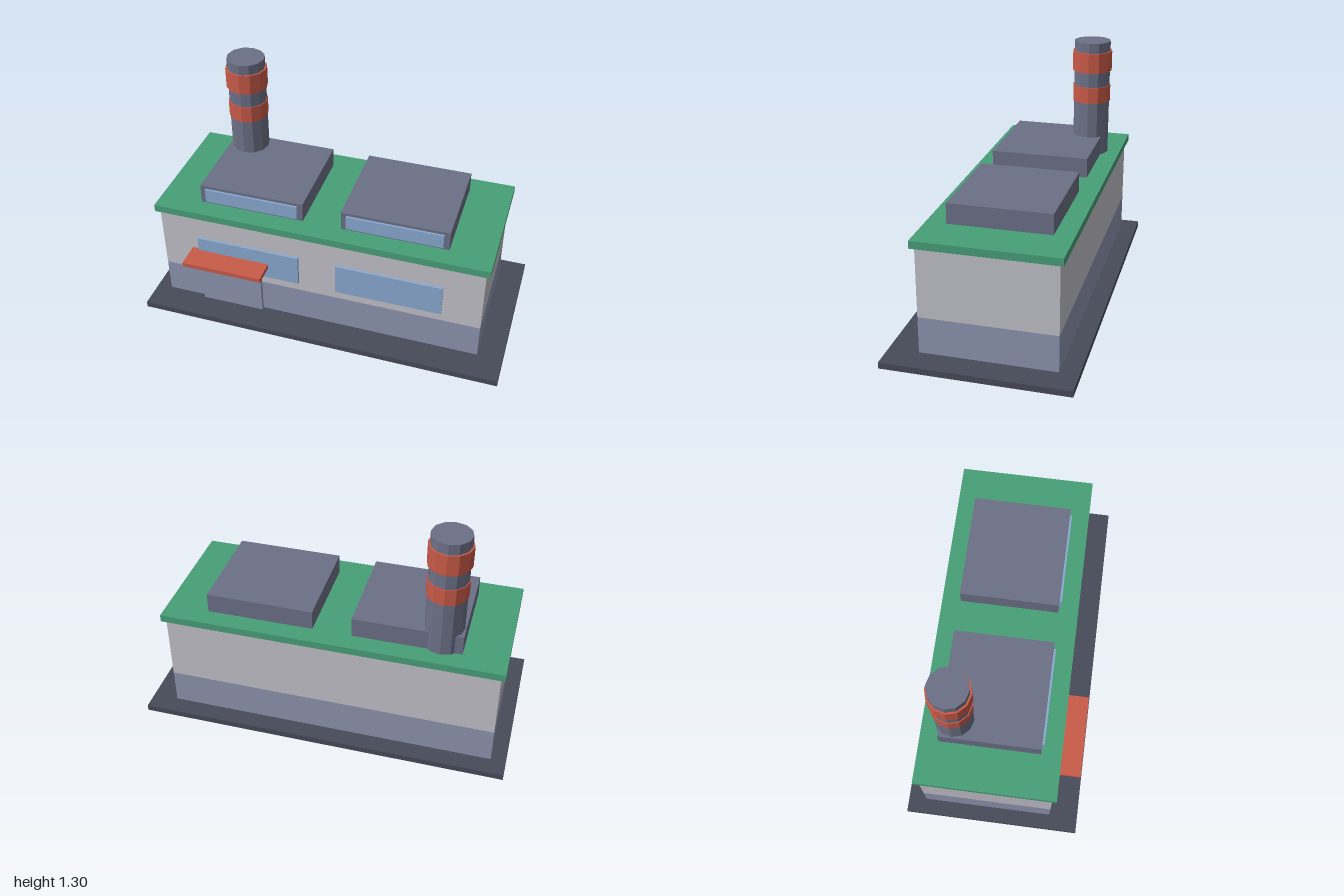
import * as THREE from 'three';

const paint = (name, color) => {
  const m = new THREE.MeshStandardMaterial({ color, flatShading: true });
  m.name = name;
  return m;
};

export function createModel() {
  const asphalt = paint('asphalt', 0x474b58);
  const wall = paint('wall grey', 0xc0c0c8);
  const plinth = paint('plinth blue grey', 0x8c93ae);
  const green = paint('roof green', 0x479f78);
  const slate = paint('slate', 0x6c7086);
  const glass = paint('glass blue', 0x8aa9d0);
  const red = paint('signal red', 0xc95a48);

  const factory = new THREE.Group();
  factory.name = 'factory';

  // Box given by its extents on each axis
  const block = (name, material, [x0, x1], [y0, y1], [z0, z1]) => {
    const mesh = new THREE.Mesh(new THREE.BoxGeometry(x1 - x0, y1 - y0, z1 - z0), material);
    mesh.position.set((x0 + x1) / 2, (y0 + y1) / 2, (z0 + z1) / 2);
    mesh.name = name;
    factory.add(mesh);
  };

  // Ground slab, two-tone hall and overhanging roof
  block('groundSlab', asphalt, [-1, 1], [0, 0.033], [-0.48, 0.48]);
  block('lowerWall', plinth, [-0.92, 0.862], [0.033, 0.228], [-0.382, 0.322]);
  block('upperWall', wall, [-0.92, 0.862], [0.228, 0.6], [-0.382, 0.322]);
  block('roof', green, [-0.942, 0.884], [0.6, 0.64], [-0.402, 0.342]);

  // Per bay: wall window, roof monitor and its skylight
  for (const x of [-0.422, 0.363]) {
    block('wallWindow', glass, [x - 0.288, x + 0.288], [0.283, 0.46], [0.322, 0.336]);
    block('roofMonitor', slate, [x - 0.288, x + 0.288], [0.64, 0.748], [-0.3, 0.235]);
    block('monitorWindow', glass, [x - 0.258, x + 0.258], [0.654, 0.732], [0.235, 0.246]);
  }

  // Entrance door and canopy
  block('door', plinth, [-0.702, -0.352], [0.033, 0.353], [0.322, 0.342]);
  block('canopy', red, [-0.75, -0.304], [0.353, 0.378], [0.322, 0.461]);

  // Chimney with two painted bands
  const drum = (name, material, radius, y0, y1) => {
    const mesh = new THREE.Mesh(new THREE.CylinderGeometry(radius, radius, y1 - y0, 12), material);
    mesh.position.set(-0.6, (y0 + y1) / 2, -0.227);
    mesh.name = name;
    factory.add(mesh);
  };
  drum('chimney', slate, 0.103, 0.64, 1.297);
  drum('lowerBand', red, 0.108, 0.95, 1.043);
  drum('upperBand', red, 0.113, 1.128, 1.241);

  return factory;
}
